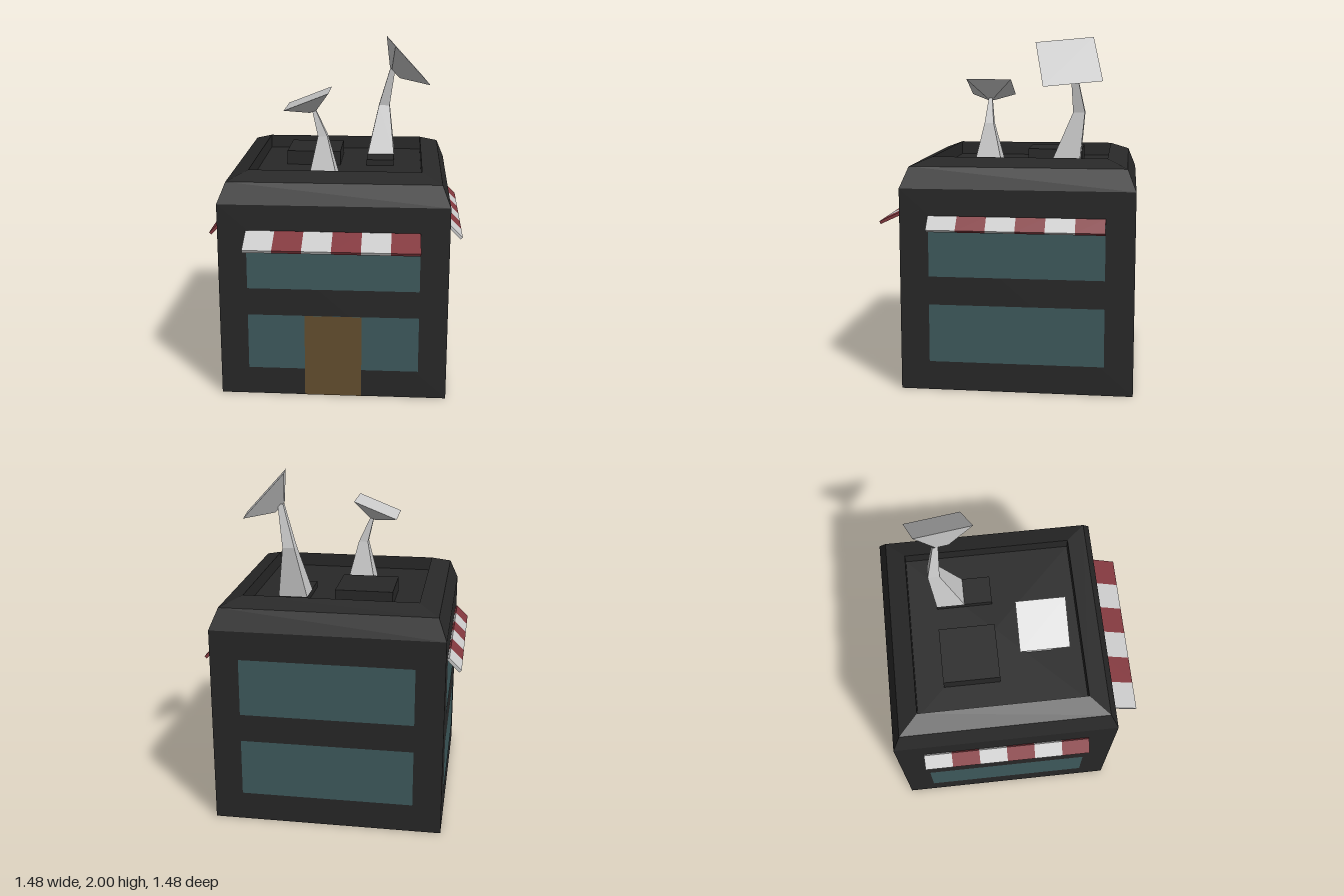
import * as THREE from 'three';

const mat = (color) => new THREE.MeshStandardMaterial({ color, flatShading: true });
const dark = mat(0x282828);
const glass = mat(0x3f5b5e);
const wood = mat(0x644f30);
const red = mat(0x83383e);
const white = mat(0xcccccc);
const grey = mat(0xcccccc);

const CZ = -0.082; // centre of the building in z
const HALF = 0.66; // half width of the building

function addMesh(parent, name, geometry, material, x = 0, y = 0, z = 0) {
  const mesh = new THREE.Mesh(geometry, material);
  mesh.name = name;
  mesh.position.set(x, y, z);
  parent.add(mesh);
  return mesh;
}

// Square tower from [half width, y, centre x, centre z] rings, listed bottom to top
function squareLoft(rings) {
  const profile = rings.map(([h, y]) => new THREE.Vector2(h * Math.SQRT2, y));
  let geo = new THREE.LatheGeometry(profile, 4, Math.PI / 4);
  const p = geo.attributes.position;
  for (let i = 0; i < p.count; i++) {
    const [, , cx = 0, cz = 0] = rings[i % rings.length];
    p.setX(i, p.getX(i) + cx);
    p.setZ(i, p.getZ(i) + cz);
  }
  geo = geo.toNonIndexed();
  geo.computeVertexNormals();
  return geo;
}

// Inverted square pyramid with its flat face through the local origin
function dishGeometry(size, tip, depth) {
  const geo = new THREE.CylinderGeometry(size * Math.SQRT1_2, tip * Math.SQRT1_2, depth, 4, 1)
    .rotateY(Math.PI / 4).translate(0, -depth / 2, 0).toNonIndexed();
  geo.computeVertexNormals();
  return geo;
}

// Six-striped sloping awning; local +z points away from the wall
function makeAwning(name, reach) {
  const awning = new THREE.Group();
  awning.name = name;
  const drop = 0.07, stripe = 0.992 / 6;
  const geo = new THREE.BoxGeometry(stripe, 0.018, Math.hypot(reach, drop));
  for (let i = 0; i < 6; i++) {
    const s = addMesh(awning, 'awningStripe', geo, i % 2 ? red : white,
      (i - 2.5) * stripe, 0.97, HALF + 0.004 + reach / 2);
    s.rotation.x = Math.atan2(drop, reach);
  }
  return awning;
}

export function createModel() {
  const model = new THREE.Group();
  model.name = 'shop';

  // Walls, bevelled parapet and recessed roof
  const building = addMesh(model, 'building', squareLoft([
    [0, 0], [HALF, 0], [HALF, 1.16], [0.612, 1.28], [0.497, 1.325], [0.497, 1.242], [0, 1.242],
  ]), dark);
  building.position.z = CZ;

  // Two window bands on each wall, awnings on all walls but the back
  const pane = new THREE.PlaneGeometry(0.992, 0.333);
  ['front', 'left', 'back', 'right'].forEach((side, i) => {
    const wall = new THREE.Group();
    wall.name = side + 'Wall';
    wall.position.z = CZ;
    wall.rotation.y = i * Math.PI / 2;
    addMesh(wall, 'lowerWindow', pane, glass, 0, 0.333, HALF + 0.002);
    addMesh(wall, 'upperWindow', pane, glass, 0, 0.828, HALF + 0.002);
    if (side !== 'back') wall.add(makeAwning(side + 'Awning', side === 'front' ? 0.15 : 0.07));
    model.add(wall);
  });

  addMesh(model, 'door', new THREE.PlaneGeometry(0.331, 0.498), wood, 0, 0.25, CZ + HALF + 0.004);

  // Roof boxes
  addMesh(model, 'roofBox', new THREE.BoxGeometry(0.331, 0.086, 0.331), dark, -0.166, 1.285, -0.248);
  addMesh(model, 'dishBase', new THREE.BoxGeometry(0.166, 0.036, 0.331), dark, 0.246, 1.26, -0.248);

  // Small dish on a bent stem
  addMesh(model, 'smallDishStem', squareLoft([
    [0.083, 1.242, -0.083, 0.168], [0.028, 1.48, -0.087, 0.17], [0.01, 1.64, -0.142, 0.17],
  ]), grey);
  const smallDish = addMesh(model, 'smallDish', dishGeometry(0.277, 0.04, 0.081), grey, -0.173, 1.7, 0.17);
  smallDish.rotation.z = Math.atan2(0.1, 0.255);

  // Large dish on a bent stem
  addMesh(model, 'largeDishStem', squareLoft([
    [0.083, 1.278, 0.246, -0.331], [0.034, 1.57, 0.262, -0.407], [0.016, 1.81, 0.314, -0.375],
  ]), grey);
  const largeDish = addMesh(model, 'largeDish', dishGeometry(0.336, 0.075, 0.115), grey, 0.41, 1.8625, -0.3525);
  const across = new THREE.Vector3(0.06, -0.03, 0.33).normalize();
  const down = new THREE.Vector3(0.22, -0.245, -0.065).normalize();
  const up = across.clone().cross(down).normalize();
  largeDish.quaternion.setFromRotationMatrix(
    new THREE.Matrix4().makeBasis(up.clone().cross(across), up, across));

  return model;
}
